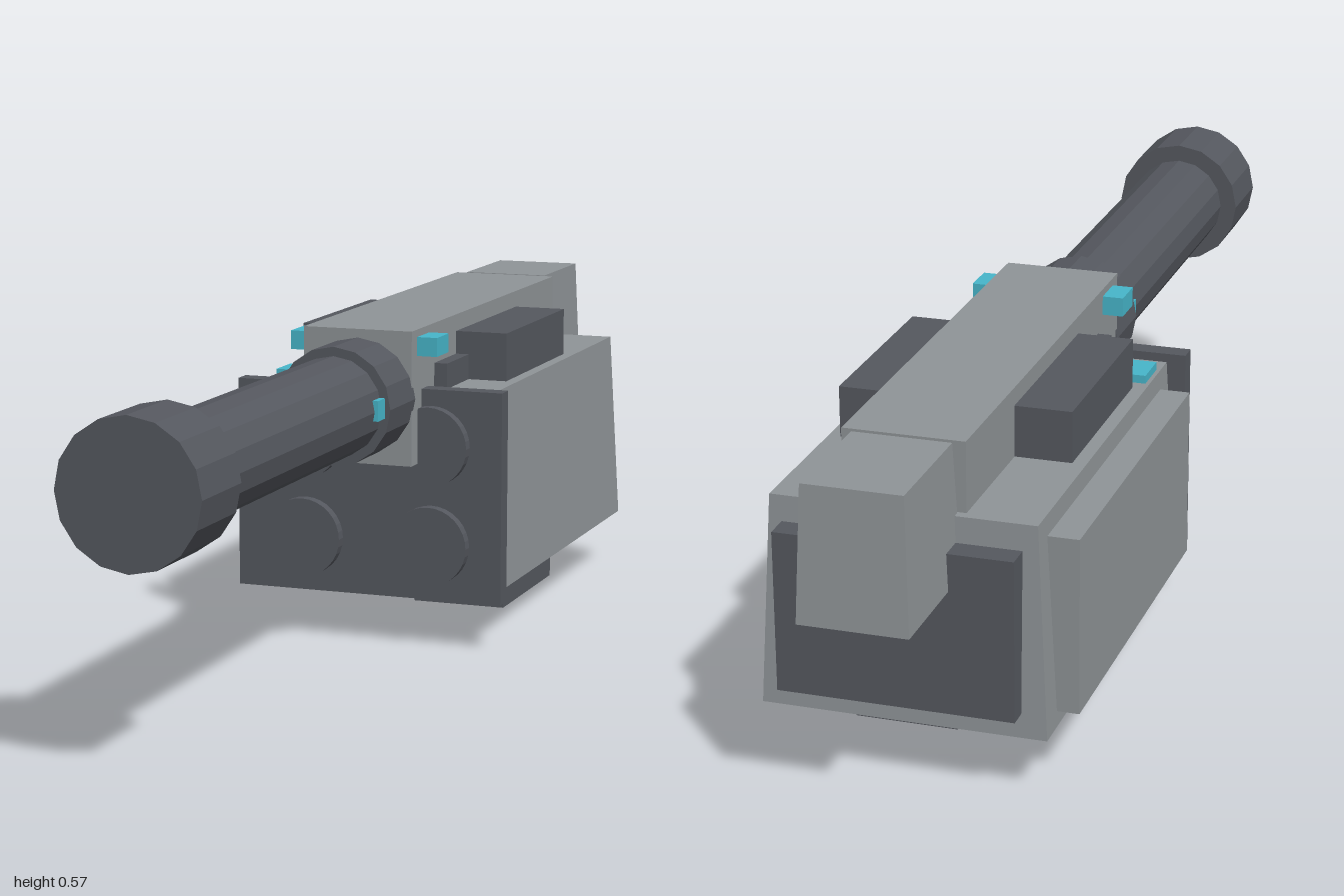
import * as THREE from 'three';

const mat = (name, color) => {
  const m = new THREE.MeshStandardMaterial({ color });
  m.name = name;
  return m;
};

export function createModel() {
  const group = new THREE.Group();
  const dark = mat('dark gunmetal', 0x55585f);
  const light = mat('light grey metal', 0x8f9497);
  const cyan = mat('cyan light', 0x47b6ca);
  const CX = 0.011, CY = 0.449; // barrel axis

  const add = (name, geometry, material) => {
    const mesh = new THREE.Mesh(geometry, material);
    mesh.name = name;
    group.add(mesh);
    return mesh;
  };

  // Box from its limits; inset draws the top corners in along x and z
  const box = (name, material, [x0, x1], [y0, y1], [z0, z1], inset = [0, 0]) => {
    const g = new THREE.BoxGeometry(x1 - x0, y1 - y0, z1 - z0);
    const p = g.attributes.position;
    for (let i = 0; i < p.count; i++) {
      if (p.getY(i) > 0) {
        p.setX(i, p.getX(i) - Math.sign(p.getX(i)) * inset[0]);
        p.setZ(i, p.getZ(i) - Math.sign(p.getZ(i)) * inset[1]);
      }
    }
    g.computeVertexNormals();
    return add(name, g, material).position.set((x0 + x1) / 2, (y0 + y1) / 2, (z0 + z1) / 2);
  };

  // Faceted cylinder along z
  const tube = (name, material, x, y, r, z0, z1, sides) => {
    let g = new THREE.CylinderGeometry(r, r, z1 - z0, sides).rotateX(Math.PI / 2).toNonIndexed();
    g.computeVertexNormals();
    add(name, g, material).position.set(x, y, (z0 + z1) / 2);
  };

  // Housing and its covers
  box('housing', light, [-0.225, 0.243], [0.1, 0.451], [-0.795, -0.03], [0.018, 0.014]);
  box('frontPlate', dark, [-0.236, 0.257], [0.085, 0.46], [-0.028, 0.006]);
  box('sidePanel', light, [-0.26, -0.2], [0.125, 0.418], [-0.74, -0.09]);
  box('rearPanel', dark, [-0.183, 0.205], [0.14, 0.408], [-0.826, -0.77]);

  // Four round caps on the front plate
  for (const x of [-0.107, 0.129])
    for (const y of [0.184, 0.361]) tube('frontCap', dark, x, y, 0.07, 0, 0.026, 32);

  // Receiver on top with its rear block
  box('receiver', light, [-0.089, 0.11], [0.331, 0.567], [-0.765, 0.058]);
  box('rearBlock', light, [-0.079, 0.098], [0.346, 0.567], [-1, -0.763], [0.008, 0.012]);
  box('topSideBlock', dark, [-0.184, 0.205], [0.44, 0.537], [-0.528, -0.178]);
  box('topStep', dark, [-0.113, 0.134], [0.44, 0.496], [-0.18, -0.06]);

  // Barrel
  tube('barrelCollar', dark, CX, CY, 0.103, 0.05, 0.175, 16);
  tube('barrel', dark, CX, CY, 0.087, 0.17, 0.86, 16);
  tube('muzzle', dark, CX, CY, 0.118, 0.855, 1, 16);

  // Mount below
  box('mount', dark, [-0.018, 0.157], [0, 0.11], [-0.615, -0.32]);
  box('mountLatch', dark, [-0.041, 0], [0.038, 0.11], [-0.55, -0.4]);

  // Cyan lights
  box('receiverLight', cyan, [-0.125, 0.146], [0.521, 0.554], [-0.032, 0.03]);
  box('lidLight', cyan, [-0.2, -0.13], [0.445, 0.465], [-0.155, -0.085]);
  box('barrelLight', cyan, [-0.082, 0.104], [0.434, 0.469], [0.172, 0.208]);

  return group;
}
